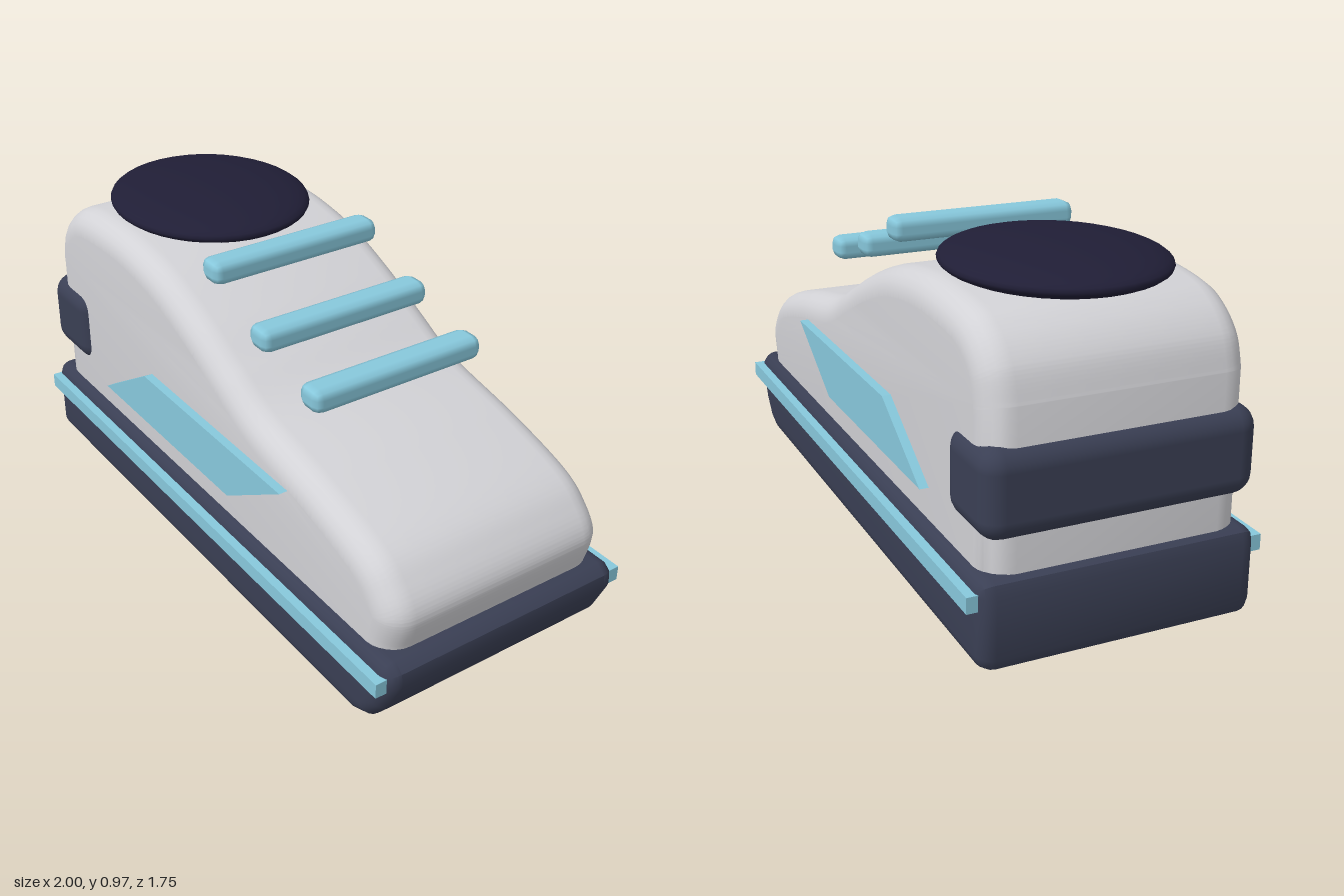
import * as THREE from 'three';
import { toCreasedNormals } from 'three/addons/utils/BufferGeometryUtils.js';
import { RoundedBoxGeometry } from 'three/addons/geometries/RoundedBoxGeometry.js';

const paint = (name, color) => {
  const m = new THREE.MeshStandardMaterial({ color });
  m.name = name;
  return m;
};

// Side profile (x = length, y = height) extruded across the width, with edges
// rounded inside the given outline.
function sideExtrude(shape, halfWidth, bevel, segments, crease) {
  const geo = new THREE.ExtrudeGeometry(shape, {
    depth: 2 * (halfWidth - bevel),
    bevelEnabled: bevel > 0,
    bevelSize: bevel,
    bevelThickness: bevel,
    bevelOffset: -bevel,
    bevelSegments: segments,
    curveSegments: 28,
  });
  geo.translate(0, 0, -(halfWidth - bevel));
  return toCreasedNormals(geo, crease);
}

const points = (list) => list.map(([x, y]) => new THREE.Vector2(x, y));

export function createModel() {
  const lightGray = paint('light gray', 0xd2d2d6);
  const slate = paint('slate', 0x3a3f54);
  const blue = paint('sky blue', 0x87c8dc);
  const navy = paint('dark navy', 0x201e36);

  const root = new THREE.Group();
  root.name = 'sneaker';
  const shoe = new THREE.Group();
  shoe.name = 'shoeBody';
  shoe.rotation.y = THREE.MathUtils.degToRad(-35); // toe points to +x, +z
  root.add(shoe);

  const add = (name, geo, mat, x = 0, y = 0, z = 0) => {
    const mesh = new THREE.Mesh(geo, mat);
    mesh.name = name;
    mesh.position.set(x, y, z);
    shoe.add(mesh);
    return mesh;
  };

  // Sole with an upswept toe
  const sole = new THREE.Shape(points([
    [-0.91, 0], [0.79, 0], [0.85, 0.025], [0.9, 0.085], [0.945, 0.185],
    [0.94, 0.225], [0.91, 0.25], [-0.915, 0.25], [-0.94, 0.24],
    [-0.95, 0.21], [-0.95, 0.04], [-0.94, 0.012],
  ]));
  add('sole', sideExtrude(sole, 0.395, 0.045, 5, 0.75), slate);

  // Upper: high heel, sloping down to a rounded toe
  const upper = new THREE.Shape();
  upper.moveTo(0.86, 0.1);
  upper.lineTo(0.89, 0.25);
  upper.splineThru(points([
    [0.91, 0.35], [0.865, 0.43], [0.77, 0.5], [0.55, 0.567], [0.28, 0.627],
    [0.12, 0.7], [-0.03, 0.775], [-0.21, 0.845], [-0.36, 0.877], [-0.52, 0.89],
    [-0.72, 0.877], [-0.82, 0.84], [-0.89, 0.77], [-0.92, 0.68],
  ]));
  upper.lineTo(-0.92, 0.1);
  upper.closePath();
  add('upper', sideExtrude(upper, 0.365, 0.08, 6, 0.75), lightGray);

  // Collar opening
  add('collar', new THREE.SphereGeometry(1, 40, 20), navy, -0.535, 0.912, 0)
    .scale.set(0.335, 0.057, 0.3);

  // Heel counter wrapped around the back
  add('heelCounter', new RoundedBoxGeometry(0.25, 0.245, 0.77, 3, 0.06), slate,
    -0.825, 0.4625, 0);

  // Laces stepping down towards the toe
  [0.91, 0.807, 0.74].forEach((y, i) => {
    add('lace', new RoundedBoxGeometry(0.09, 0.07, 0.56, 1, 0.025), blue,
      -0.076 + 0.245 * i, y, 0);
  });

  // Side panels and sole stripes, mirrored
  const panel = new THREE.Shape(points([
    [-0.56, 0.34], [0.175, 0.34], [0.448, 0.505], [-0.292, 0.505],
  ]));
  for (const side of [-1, 1]) {
    add('sidePanel', sideExtrude(panel, 0.016, 0, 1, 0.3), blue, 0, 0, side * 0.375);
    add('soleStripe', new THREE.BoxGeometry(1.85, 0.045, 0.035), blue,
      0, 0.193, side * 0.4025);
  }
  return root;
}
